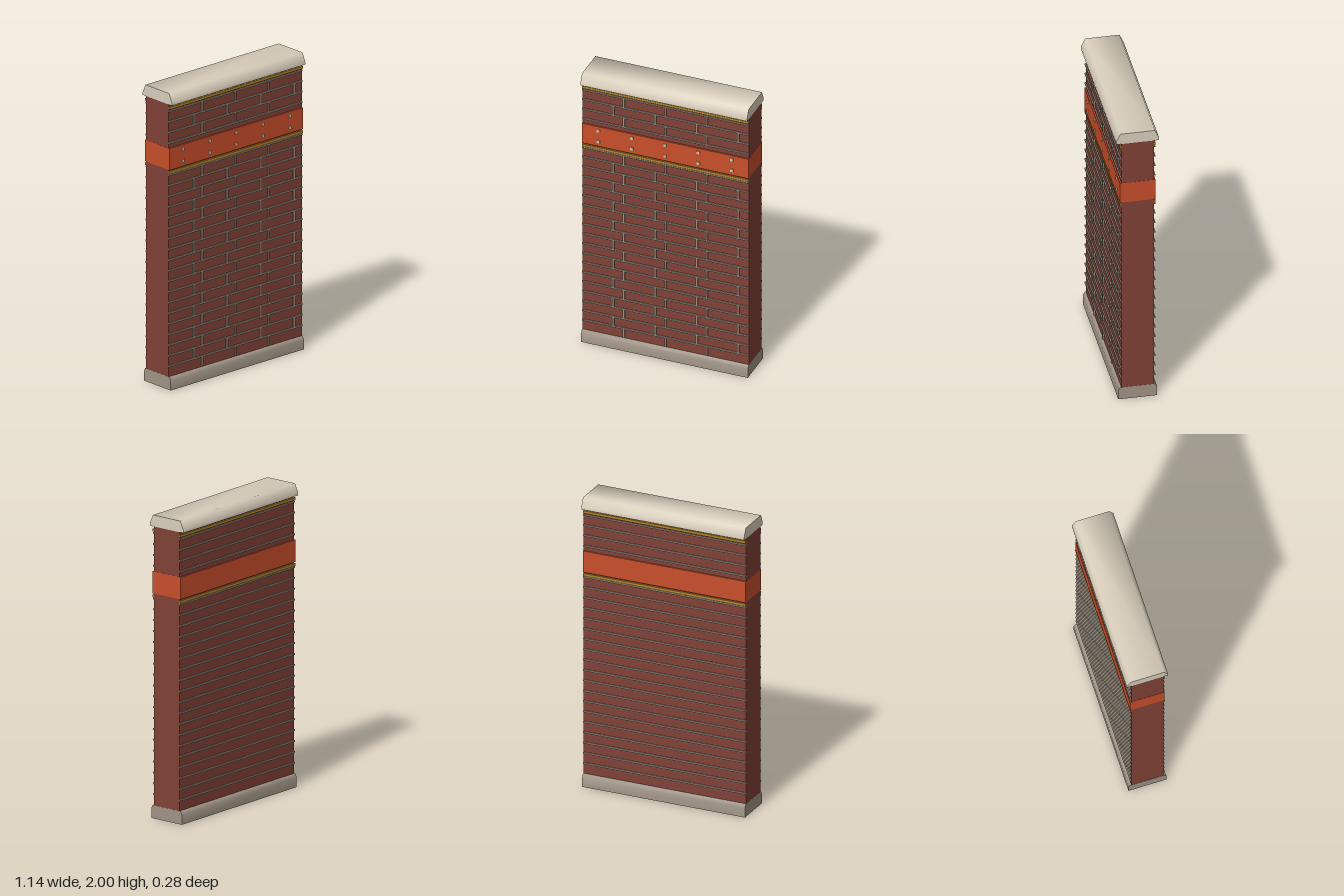
import * as THREE from 'three';
import { toCreasedNormals } from 'three/addons/utils/BufferGeometryUtils.js';

const HALF = 0.571;              // half the wall length
const FACE = 0.106;              // half the wall thickness
const BASE_TOP = 0.087, COURSE = 0.0717, COURSES = 25;

function material(name, color) {
  const m = new THREE.MeshStandardMaterial({ color });
  m.name = name;
  return m;
}

export function createModel() {
  const group = new THREE.Group();
  const brick = material('brick red', 0x804136);
  const mortar = material('mortar grey', 0x9a8e80);
  const stone = material('base stone', 0xa09486);
  const capStone = material('cap stone', 0xd9cfbc);
  const orange = material('band orange', 0xc94e2b);
  const gold = material('trim gold', 0xb4832a);
  const stud = material('stud cream', 0xd8c8a8);

  function box(name, mat, w, h, d, x, y, z) {
    const mesh = new THREE.Mesh(new THREE.BoxGeometry(w, h, d), mat);
    mesh.name = name;
    mesh.position.set(x, y, z);
    group.add(mesh);
  }

  // Half profile of [z, y] points, mirrored and run along the wall
  function moulding(name, mat, half) {
    const mirrored = half.map(([z, y]) => [-z, y]).reverse();
    const shape = new THREE.Shape([...half, ...mirrored].map(([z, y]) => new THREE.Vector2(z, y)));
    const geo = new THREE.ExtrudeGeometry(shape, { depth: 2 * HALF, bevelEnabled: false });
    geo.translate(0, 0, -HALF).rotateY(Math.PI / 2);
    const mesh = new THREE.Mesh(toCreasedNormals(geo, 1.25), mat);
    mesh.name = name;
    group.add(mesh);
  }

  // Wall core, base and coping
  box('wall', brick, 2 * HALF - 0.002, 1.86, 2 * FACE, 0, 1.0, 0);
  moulding('base', stone, [[0.126, 0], [0.126, 0.065], [0.114, BASE_TOP]]);
  moulding('coping', capStone, [[0.138, 1.925], [0.138, 1.943], [0.112, 2]]);

  // Mortar courses on both faces, upright joints on the front
  for (let k = 0; k <= COURSES; k++) {
    const y = BASE_TOP + k * COURSE;
    const hidden = k === 20 || k === 21;   // covered by the band
    if (k > 0 && !hidden) {
      for (const s of [1, -1]) box('mortarCourse', mortar, 2 * HALF, 0.01, 0.008, 0, y, s * (FACE + 0.004));
    }
    if (k === COURSES || (k >= 19 && k <= 21)) continue;
    const joints = k % 2 ? [-0.357, -0.071, 0.214, 0.5] : [-0.286, 0, 0.286];
    for (const x of joints) {
      box('mortarJoint', mortar, k % 2 ? 0.014 : 0.011, COURSE - 0.01, 0.008, x, y + COURSE / 2, FACE + 0.004);
    }
  }

  // Painted band wrapped round the wall, with studs on the front
  box('band', orange, 2 * HALF, 0.146, 0.23, 0, 1.556, 0);
  for (const x of [-0.457, -0.228, 0, 0.228, 0.457]) {
    for (const y of [1.52, 1.6]) box('stud', stud, 0.02, 0.02, 0.008, x, y, 0.118);
  }

  // Gold trim lines on both faces
  for (const y of [1.466, 1.9]) {
    for (const s of [1, -1]) box('trim', gold, 2 * HALF, 0.017, 0.01, 0, y, s * (FACE + 0.005));
  }
  return group;
}
